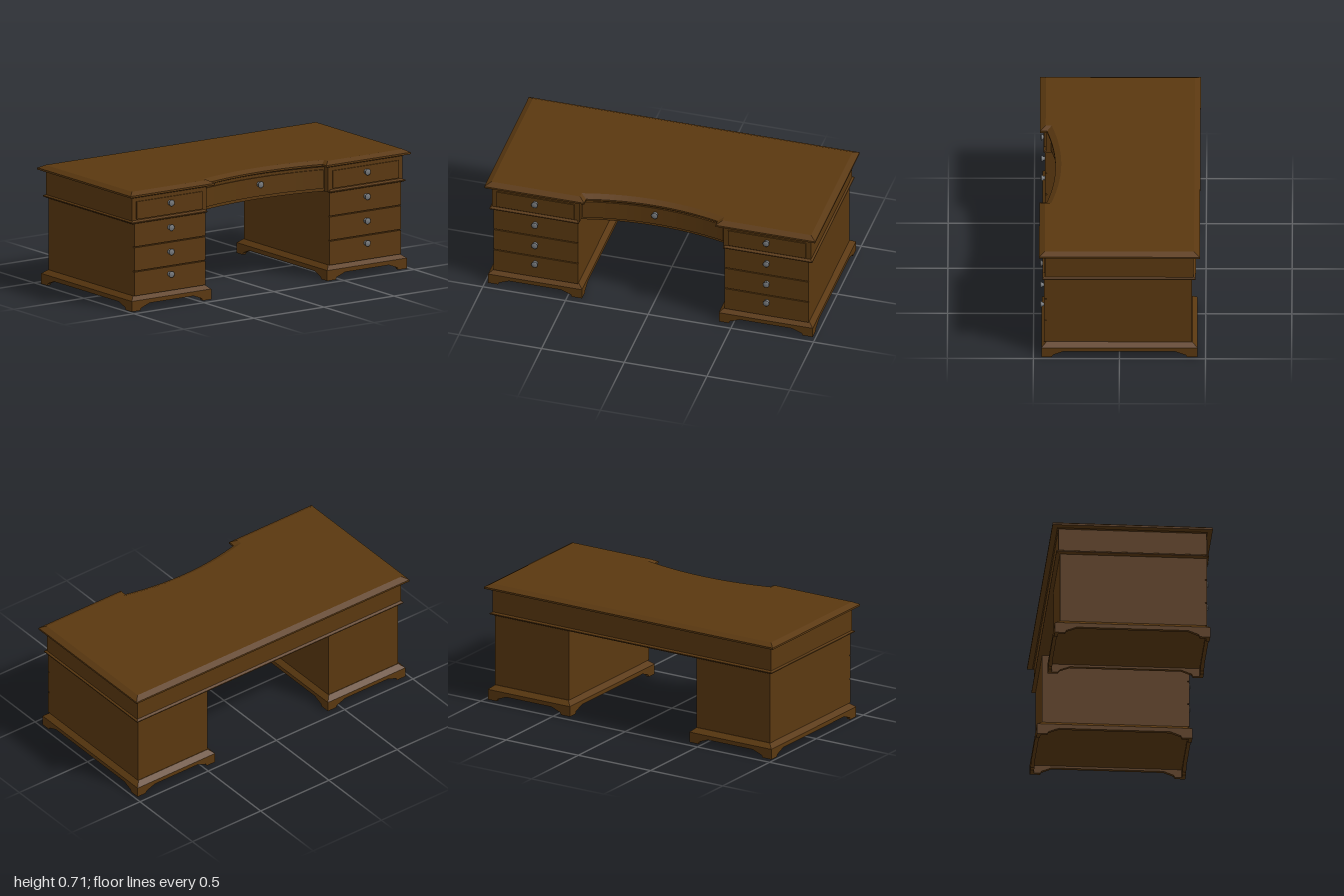
import * as THREE from 'three';

const wood = new THREE.MeshStandardMaterial({ color: 0x5a3810 });
wood.name = 'darkWood';
const metal = new THREE.MeshStandardMaterial({ color: 0x74777a });
metal.name = 'greyMetal';

function add(parent, name, geometry, material = wood) {
  const mesh = new THREE.Mesh(geometry, material);
  mesh.name = name;
  parent.add(mesh);
  return mesh;
}

function box(parent, name, x0, x1, y0, y1, z0, z1) {
  const mesh = add(parent, name, new THREE.BoxGeometry(x1 - x0, y1 - y0, z1 - z0));
  mesh.position.set((x0 + x1) / 2, (y0 + y1) / 2, (z0 + z1) / 2);
  return mesh;
}

// Shrinks an [x, z] outline inwards with mitred corners
function inset(outline, d) {
  const n = outline.length;
  const normal = (a, b) => {
    const l = Math.hypot(b[0] - a[0], b[1] - a[1]);
    return [-(b[1] - a[1]) / l, (b[0] - a[0]) / l];
  };
  return outline.map((p, i) => {
    const m = normal(outline[(i + n - 1) % n], p);
    const q = normal(p, outline[(i + 1) % n]);
    const k = d / (1 + m[0] * q[0] + m[1] * q[1]);
    return [p[0] - (m[0] + q[0]) * k, p[1] - (m[1] + q[1]) * k];
  });
}

// Solid from an outline (front edge running towards +x) and [inset, y] levels, bottom to top
function moulded(outline, levels) {
  const rings = levels.map(([d, y]) => inset(outline, d).map(([x, z]) => [x, y, z]));
  const pos = [];
  for (let r = 0; r + 1 < rings.length; r++) {
    outline.forEach((_, i) => {
      const j = (i + 1) % outline.length;
      const a = rings[r][i], b = rings[r][j], c = rings[r + 1][j], d = rings[r + 1][i];
      pos.push(...a, ...b, ...c, ...a, ...c, ...d);
    });
  }
  const cap = (ring, up) => {
    const flat = ring.map(([x, , z]) => new THREE.Vector2(x, -z));
    for (const [a, b, c] of THREE.ShapeUtils.triangulateShape(flat, [])) {
      pos.push(...ring[a], ...ring[up ? b : c], ...ring[up ? c : b]);
    }
  };
  cap(rings[0], false);
  cap(rings[rings.length - 1], true);
  const g = new THREE.BufferGeometry();
  g.setAttribute('position', new THREE.Float32BufferAttribute(pos, 3));
  g.computeVertexNormals();
  return g;
}

const rect = (x0, x1, z0, z1) => [[x0, z1], [x1, z1], [x1, z0], [x0, z0]];

// Bowed line from -w to w, furthest back in the middle
function bow(w, zMid, zEnd, steps = 20) {
  return Array.from({ length: steps + 1 }, (_, i) => {
    const t = (i / steps) * 2 - 1;
    return [t * w, zMid + (zEnd - zMid) * t * t];
  });
}

// Rectangle with a bowed recess in the front edge
function recessed(hx, zBack, zFront, w, zMid, zEnd) {
  return [[-hx, zFront], [-w, zFront], ...bow(w, zMid, zEnd), [w, zFront],
    [hx, zFront], [hx, zBack], [-hx, zBack]];
}

// Skirt board with an arched cut-out that leaves a foot at each end
function skirt(length, t) {
  const h = length / 2;
  const half = [[h, 0.062], [h, 0], [h - 0.06, 0], [h - 0.068, 0.014], [h - 0.128, 0.037]];
  const pts = [...half, ...half.map(([x, y]) => [-x, y]).reverse()];
  const shape = new THREE.Shape(pts.map(([x, y]) => new THREE.Vector2(x, y)));
  return new THREE.ExtrudeGeometry(shape, { depth: t, bevelEnabled: false });
}

const knobProfile = [[0, 0], [0.015, 0], [0.015, 0.004], [0.01, 0.006], [0.011, 0.012],
  [0.018, 0.02], [0.019, 0.024], [0.014, 0.028], [0, 0.029]];
const knobGeometry = new THREE.LatheGeometry(
  knobProfile.map(([r, y]) => new THREE.Vector2(r, y)), 20).rotateX(Math.PI / 2);

function knob(parent, x, y, z) {
  add(parent, 'drawerKnob', knobGeometry, metal).position.set(x, y, z);
}

function pedestal(side) {
  const g = new THREE.Group();
  g.name = side > 0 ? 'leftPedestal' : 'rightPedestal';
  const cx = side * 0.6975;
  box(g, 'pedestalBody', cx - 0.255, cx + 0.255, 0.08, 0.525, -0.42, 0.425);

  // Drawer fronts with gaps between them
  for (const [y0, y1, yk] of [[0.087, 0.229, 0.187], [0.235, 0.374, 0.32], [0.38, 0.52, 0.465]]) {
    box(g, 'drawerFront', cx - 0.255, cx + 0.255, y0, y1, 0.424, 0.437);
    knob(g, side * 0.7, yk, 0.435);
  }

  // Plinth: sloped cap over four skirt boards
  const hx = 0.284, hz = 0.453, t = 0.022;
  add(g, 'plinthCap', moulded(rect(cx - hx, cx + hx, -hz, hz),
    [[0.004, 0.05], [0.004, 0.062], [0, 0.062], [0.03, 0.087]]));
  for (let k = 0; k < 4; k++) {
    const across = k % 2 === 0;
    const geo = skirt(2 * (across ? hx : hz), t);
    geo.translate(0, 0, (across ? hz : hx) - t).rotateY(k * Math.PI / 2);
    add(g, 'plinthSkirt', geo).position.x = cx;
  }
  return g;
}

export function createModel() {
  const desk = new THREE.Group();
  desk.name = 'pedestalDesk';

  add(desk, 'deskTop', moulded(recessed(1, -0.467, 0.467, 0.397, 0.375, 0.425),
    [[0.036, 0.668], [0.03, 0.675], [0, 0.681], [0, 0.692], [0.034, 0.71]]));

  // Apron with a bowed centre and a moulding below it
  add(desk, 'apron', moulded(recessed(0.965, -0.43, 0.432, 0.435, 0.34, 0.395),
    [[0, 0.522], [0, 0.672]]));
  add(desk, 'apronMoulding', moulded(
    [[-0.976, 0.447], [-0.436, 0.447], [-0.436, 0.3], [0.436, 0.3], [0.436, 0.447],
      [0.976, 0.447], [0.976, -0.443], [-0.976, -0.443]],
    [[0.014, 0.515], [0, 0.522], [0, 0.528], [0.014, 0.536]]));

  // Top row of drawers
  const front = bow(0.425, 0.348, 0.401);
  const back = bow(0.425, 0.335, 0.388).reverse();
  add(desk, 'centreDrawer', moulded([...front, ...back], [[0, 0.54], [0, 0.652]]));
  knob(desk, 0, 0.612, 0.347);
  for (const s of [-1, 1]) {
    box(desk, 'topDrawer', s * 0.7 - 0.235, s * 0.7 + 0.235, 0.542, 0.647, 0.425, 0.439);
    knob(desk, s * 0.7, 0.612, 0.436);
    desk.add(pedestal(s));
  }
  return desk;
}
